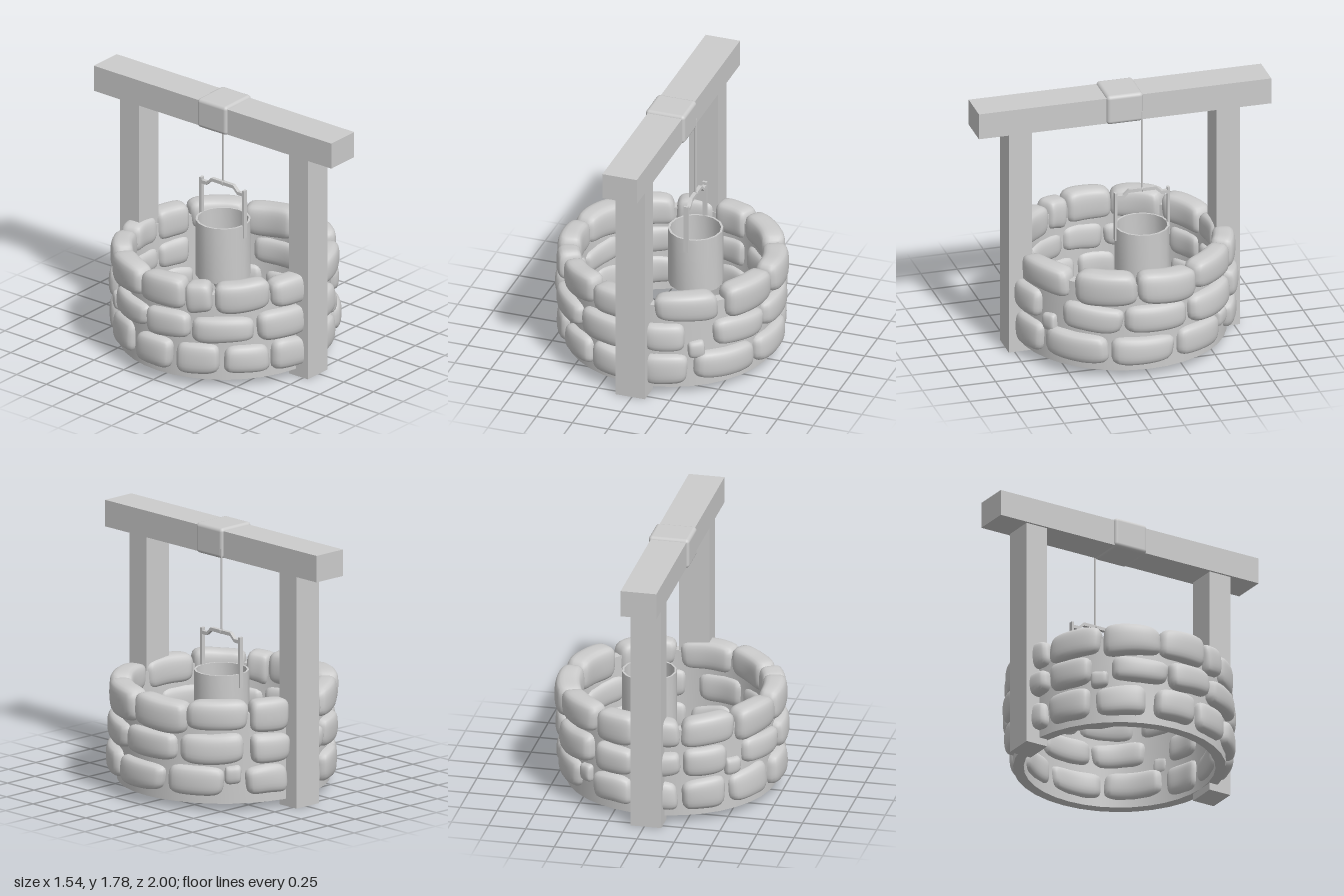
import * as THREE from 'three';
import { mergeVertices, toCreasedNormals } from 'three/addons/utils/BufferGeometryUtils.js';
import { RoundedBoxGeometry } from 'three/addons/geometries/RoundedBoxGeometry.js';

const material = new THREE.MeshStandardMaterial({ color: 0xcccccc, side: THREE.DoubleSide });

let seed = 7;
const rand = () => {
  seed = (seed * 16807) % 2147483647;
  return seed / 2147483647;
};
const vary = (amount) => (rand() * 2 - 1) * amount;

function add(parent, name, geometry, x = 0, y = 0, z = 0) {
  const mesh = new THREE.Mesh(geometry, material);
  mesh.name = name;
  mesh.position.set(x, y, z);
  parent.add(mesh);
  return mesh;
}

const box = (parent, name, w, h, d, x, y, z) => add(parent, name, new THREE.BoxGeometry(w, h, d), x, y, z);

function lathe(points, segments) {
  const geometry = new THREE.LatheGeometry(points.map(([r, y]) => new THREE.Vector2(r, y)), segments);
  return toCreasedNormals(geometry, 0.7);
}

// Rounded, irregular block bent around the ring between two angles (degrees, 0 = front)
function stoneGeometry(from, to, y, height, inner, outer) {
  const geometry = new THREE.BoxGeometry(2, 2, 2, 10, 8, 6);
  geometry.deleteAttribute('uv');
  geometry.deleteAttribute('normal');
  const stone = mergeVertices(geometry);
  const mid = THREE.MathUtils.degToRad((from + to) / 2);
  const half = THREE.MathUtils.degToRad((to - from) / 2);
  const corners = [0, 1, 2, 3].map(() => [vary(0.09), vary(0.15), vary(0.12)]);
  const tilt = vary(0.07), bulge = vary(0.07), phase = rand() * 6;
  const pos = stone.attributes.position;
  const v = new THREE.Vector3();
  for (let i = 0; i < pos.count; i++) {
    v.fromBufferAttribute(pos, i);
    const norm = (Math.abs(v.x) ** 4.5 + Math.abs(v.y) ** 4.5 + Math.abs(v.z) ** 4.5) ** (1 / 4.5);
    v.divideScalar(norm);
    // shift the four face corners, blended across the block
    const [a, b] = [(v.x + 1) / 2, (v.y + 1) / 2];
    const weights = [(1 - a) * (1 - b), a * (1 - b), (1 - a) * b, a * b];
    const s = [0, 1, 2].map((k) => weights.reduce((sum, w, j) => sum + w * corners[j][k], 0));
    const along = v.x * (1 + s[0]);
    const up = v.y * (1 + s[1]) + tilt * v.x + bulge * Math.sin(v.x * 2.5 + phase);
    const out = v.z * (1 + s[2]) * (1 - 0.12 * v.y * v.y);
    const angle = mid + along * half;
    // slightly flattened arc
    const r = ((inner + outer) / 2 + (out * (outer - inner)) / 2) * (1 - 0.12 * (half * along) ** 2 + 0.01);
    pos.setXYZ(i, r * Math.sin(angle), y + (up * height) / 2, r * Math.cos(angle));
  }
  stone.computeVertexNormals();
  return stone;
}

// Stone courses: start and end angles of each stone
const courses = [
  { y: 0.2, height: 0.2, outer: 0.752, spans: [
    [4, 28], [32, 67], [69, 103], [105, 136], [148, 172], [174, 196], [198, 222],
    [225, 253], [257, 280], [282, 306], [308, 333], [335, 362]] },
  { y: 0.425, height: 0.19, outer: 0.76, spans: [
    [4, 27], [42, 75], [77, 111], [114, 147], [150, 172], [174, 197], [198, 222],
    [234, 264], [265, 290], [292, 325], [327, 356]] },
  { y: 0.635, height: 0.205, outer: 0.752, spans: [
    [10, 46], [48, 83], [84, 116], [117, 149], [150, 172], [174, 197], [198, 228],
    [229, 259], [260, 287], [288, 302], [303, 334], [335, 368]] },
];
// Pebbles filling the gaps: angle, height
const pebbles = [[33, 0.33], [141, 0.25], [227, 0.36]];

function buildWall() {
  const wall = new THREE.Group();
  wall.name = 'wellWall';
  add(wall, 'wallRing', lathe([[0.63, 0.05], [0.7, 0.05], [0.7, 0.66], [0.63, 0.66], [0.63, 0.05]], 36));
  courses.forEach(({ y, height, outer, spans }) => spans.forEach(([from, to]) => {
    add(wall, 'stone', stoneGeometry(from, to, y + vary(0.008), height + vary(0.012), 0.59, outer + vary(0.01)));
  }));
  pebbles.forEach(([angle, y]) => add(wall, 'pebble', stoneGeometry(angle - 4.5, angle + 4.5, y, 0.12, 0.61, 0.735)));
  wall.position.x = -0.005;
  return wall;
}

function buildFrame() {
  const frame = new THREE.Group();
  frame.name = 'frame';
  for (const side of [1, -1]) box(frame, 'post', 0.205, 1.58, 0.16, -0.012, 0.79, side * 0.71);
  box(frame, 'beam', 0.24, 0.18, 2, -0.01, 1.67, 0);
  add(frame, 'ropeWrap', new RoundedBoxGeometry(0.275, 0.205, 0.25, 3, 0.025), -0.01, 1.675, 0.003);
  return frame;
}

function buildBucket() {
  const bucket = new THREE.Group();
  bucket.name = 'bucket';
  add(bucket, 'bucketBody', lathe([[0, 0.43], [0.182, 0.43], [0.182, 0.825], [0.168, 0.825], [0.168, 0.46], [0, 0.46]], 16));
  for (const side of [1, -1]) box(bucket, 'handleArm', 0.03, 0.34, 0.018, 0, 0.905, side * 0.18);
  // Cranked crossbar, extruded from its side outline
  const top = [[-0.18, 1.055], [-0.13, 1.055], [-0.092, 1.092], [0.092, 1.092], [0.13, 1.055], [0.18, 1.055]];
  const low = top.map(([z, y]) => [z, y - 0.023]).reverse();
  const outline = new THREE.Shape([...top, ...low].map(([z, y]) => new THREE.Vector2(z, y)));
  const bar = new THREE.ExtrudeGeometry(outline, { depth: 0.026, bevelEnabled: false });
  bar.translate(0, 0, -0.013);
  add(bucket, 'handleBar', bar).rotation.y = Math.PI / 2;
  // Rope and its knot
  add(bucket, 'rope', new THREE.CylinderGeometry(0.007, 0.007, 0.56, 8), 0, 1.36, 0);
  add(bucket, 'knot', new THREE.TorusGeometry(0.014, 0.005, 6, 12), 0, 1.081, 0);
  bucket.position.set(0.12, 0, -0.112);
  return bucket;
}

export function createModel() {
  const well = new THREE.Group();
  well.name = 'well';
  well.add(buildWall(), buildFrame(), buildBucket());
  return well;
}
